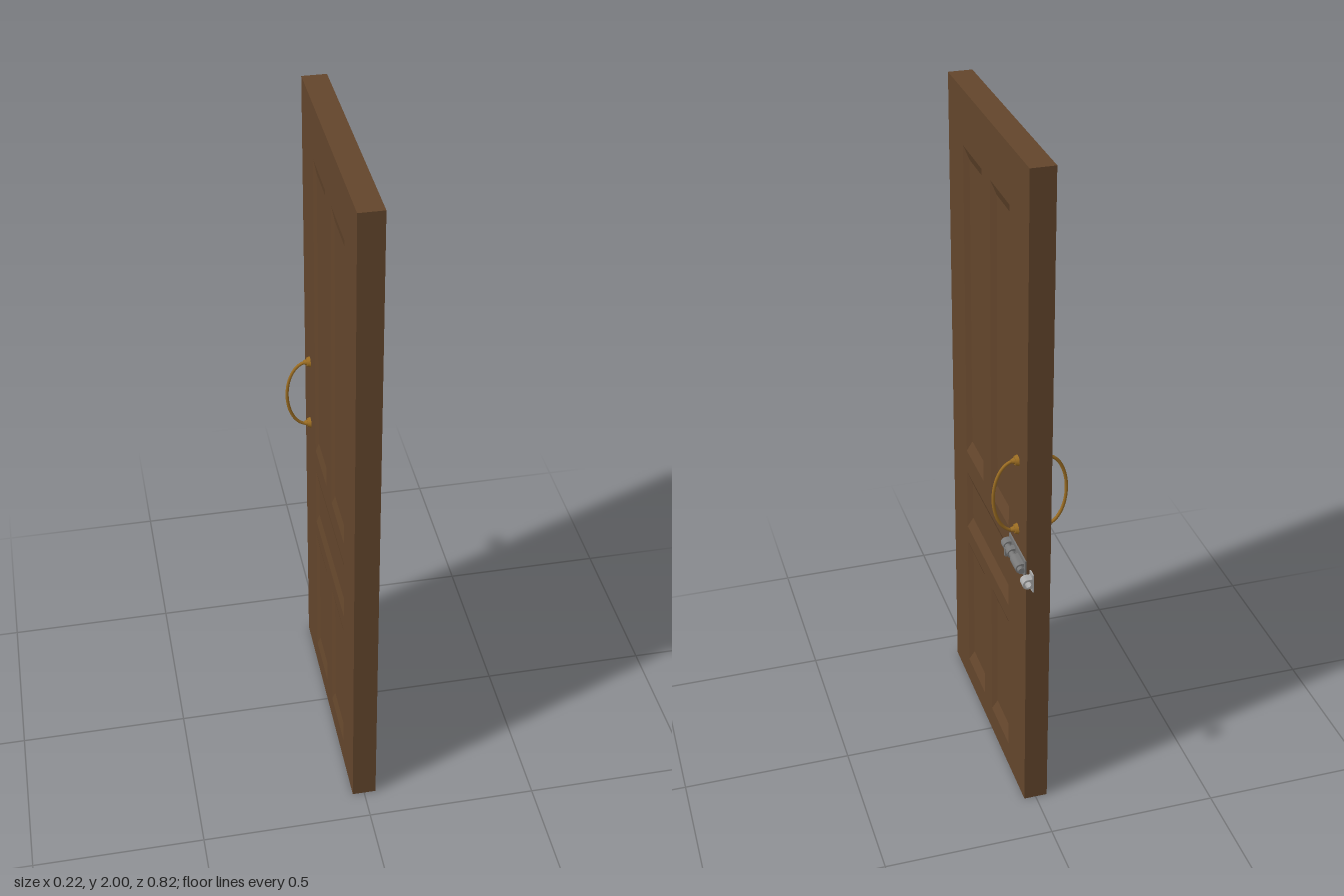
import * as THREE from 'three';

const mat = (color) => new THREE.MeshStandardMaterial({ color });
const wood = mat(0x64462c), brass = mat(0x9a6c22), steel = mat(0x787878), paleSteel = mat(0xaaaaaa);

const HALF = 0.035, Z0 = -0.342, Z1 = 0.41, HEIGHT = 2;
const HANDLE_Z = -0.259;

// Panels as [z min, z max, y min, y max]
const panels = [
  [0.079, 0.262, 0.868, 1.84], [-0.175, 0, 0.868, 1.84],
  [-0.175, 0.262, 0.595, 0.795],
  [0.079, 0.262, 0.08, 0.54], [-0.175, 0, 0.08, 0.54],
];

function add(parent, name, geometry, material, x = 0, y = 0, z = 0) {
  const mesh = new THREE.Mesh(geometry, material);
  mesh.name = name;
  mesh.position.set(x, y, z);
  parent.add(mesh);
  return mesh;
}

const box = (w, h, d) => new THREE.BoxGeometry(w, h, d);

// Corners of a rectangle, counter-clockwise
const corners = (u0, u1, v0, v1) => [[u0, v0], [u1, v0], [u1, v1], [u0, v1]];
const toPoints = (list) => list.map(([u, v]) => new THREE.Vector2(u, v));

// Sloping moulding from the door surface down to the panel floor
function mouldingGeometry(u0, u1, v0, v1, depth) {
  const outer = corners(u0, u1, v0, v1).map((c) => [...c, depth]);
  const inner = corners(u0 + 0.015, u1 - 0.015, v0 + 0.038, v1 - 0.038).map((c) => [...c, 0]);
  const positions = [];
  for (let i = 0; i < 4; i++) {
    const j = (i + 1) % 4;
    positions.push(...outer[i], ...outer[j], ...inner[j], ...outer[i], ...inner[j], ...inner[i]);
  }
  const geometry = new THREE.BufferGeometry();
  geometry.setAttribute('position', new THREE.Float32BufferAttribute(positions, 3));
  geometry.computeVertexNormals();
  return geometry;
}

// One face of the door: a frame with openings and their mouldings
function doorFace(side, depth) {
  const face = new THREE.Group();
  face.name = side > 0 ? 'leftDoorFace' : 'rightDoorFace';
  const range = (a, b) => (side > 0 ? [-b, -a] : [a, b]);
  const shape = new THREE.Shape(toPoints(corners(...range(Z0, Z1), 0, HEIGHT)));
  for (const [za, zb, ya, yb] of panels) {
    const [u0, u1] = range(za, zb);
    shape.holes.push(new THREE.Path(toPoints(corners(u0, u1, ya, yb).reverse())));
    add(face, 'panelMoulding', mouldingGeometry(u0, u1, ya, yb, depth), wood);
  }
  add(face, 'doorFrame', new THREE.ExtrudeGeometry(shape, { depth, bevelEnabled: false }), wood);
  face.rotation.y = side * Math.PI / 2;
  face.position.x = side * (HALF - depth);
  return face;
}

// Bowed pull handle on two stepped mounts
function pullHandle(side) {
  const handle = new THREE.Group();
  handle.name = side > 0 ? 'leftPullHandle' : 'rightPullHandle';
  const points = [];
  for (let i = 0; i <= 16; i++) {
    const a = Math.PI * (i / 16 - 0.5);
    points.push(new THREE.Vector3(side * (0.045 + 0.06 * Math.cos(a)), 1.023 + 0.111 * Math.sin(a), HANDLE_Z));
  }
  const curve = new THREE.CatmullRomCurve3(points);
  add(handle, 'grip', new THREE.TubeGeometry(curve, 40, 0.0048, 8), brass);
  for (const y of [0.914, 1.134]) {
    const mount = add(handle, 'mount', new THREE.CylinderGeometry(0.013, 0.017, 0.011, 8), brass, side * 0.0395, y, HANDLE_Z);
    mount.rotation.z = -side * Math.PI / 2;
    const collar = add(handle, 'collar', new THREE.CylinderGeometry(0.006, 0.01, 0.012, 8), brass, side * 0.049, y, HANDLE_Z);
    collar.rotation.z = -side * Math.PI / 2;
  }
  return handle;
}

// Arched strap running along z, with flat flanges above and below
function strap(parent, name, zCenter, length, material, top = 0.063) {
  const r = 0.015, x0 = HALF, xa = top - r, y = 0.83;
  const shape = new THREE.Shape();
  shape.moveTo(x0, -0.028);
  shape.lineTo(x0 + 0.004, -0.028);
  shape.lineTo(x0 + 0.004, -r);
  shape.lineTo(xa, -r);
  shape.absarc(xa, 0, r, -Math.PI / 2, Math.PI / 2, false);
  shape.lineTo(x0 + 0.004, r);
  shape.lineTo(x0 + 0.004, 0.028);
  shape.lineTo(x0, 0.028);
  shape.closePath();
  const hole = new THREE.Path();
  hole.absarc(xa, 0, 0.0095, 0, Math.PI * 2, true);
  shape.holes.push(hole);
  const geometry = new THREE.ExtrudeGeometry(shape, { depth: length, bevelEnabled: false, curveSegments: 8 });
  add(parent, name, geometry, material, 0, y, zCenter - length / 2);
}

function slideBolt() {
  const bolt = new THREE.Group();
  bolt.name = 'slideBolt';
  add(bolt, 'backPlate', box(0.004, 0.056, 0.152), steel, HALF + 0.002, 0.83, -0.266);
  const rod = add(bolt, 'rod', new THREE.CylinderGeometry(0.0095, 0.0095, 0.145, 12), steel, 0.05, 0.83, -0.2725);
  rod.rotation.x = Math.PI / 2;
  strap(bolt, 'rearStrap', -0.203, 0.026, steel);
  strap(bolt, 'middleStrap', -0.245, 0.02, steel);
  strap(bolt, 'frontStrap', -0.305, 0.055, steel);
  // Thumb lever hanging from the rod
  add(bolt, 'lever', box(0.008, 0.026, 0.009), steel, 0.058, 0.819, -0.225);
  strap(bolt, 'keeper', -0.398, 0.027, paleSteel, 0.067);
  return bolt;
}

export function createModel() {
  const model = new THREE.Group();
  model.name = 'door';
  const leftDepth = 0.014, rightDepth = 0.007;
  // Solid core forms the panel floors
  add(model, 'doorCore', box(2 * HALF - leftDepth - rightDepth, HEIGHT, Z1 - Z0), wood,
    (rightDepth - leftDepth) / 2, HEIGHT / 2, (Z0 + Z1) / 2);
  model.add(doorFace(1, leftDepth), doorFace(-1, rightDepth));
  model.add(pullHandle(1), pullHandle(-1));
  model.add(slideBolt());
  return model;
}
